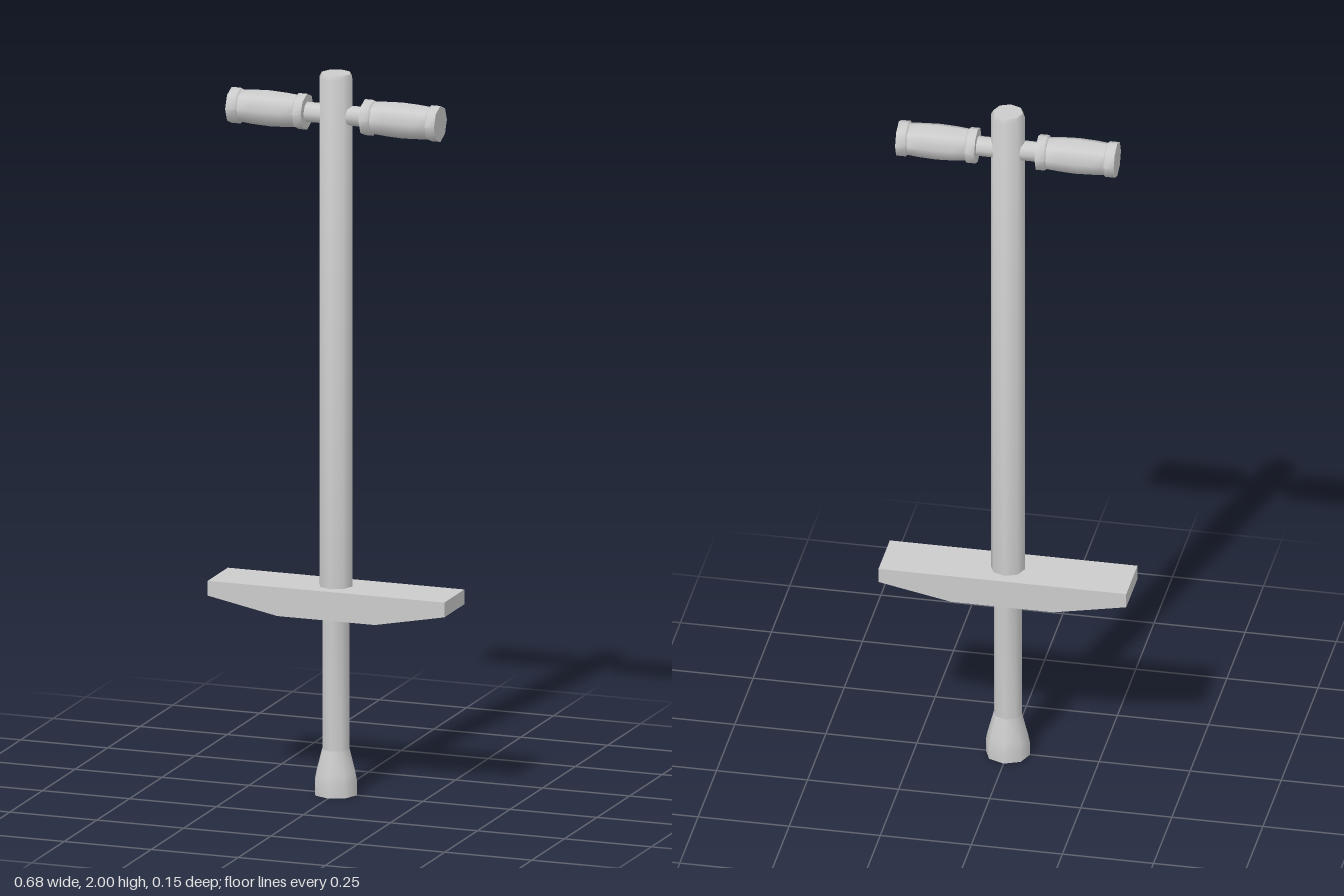
import * as THREE from 'three';
import { toCreasedNormals } from 'three/addons/utils/BufferGeometryUtils.js';

const SIDES = 8;
const material = new THREE.MeshStandardMaterial({ color: 0xcccccc });

// Turned part from [radius, height] pairs, bottom to top, smooth around with sharp rims
function turned(points) {
  const profile = points.map(([r, y]) => new THREE.Vector2(r, y));
  return toCreasedNormals(new THREE.LatheGeometry(profile, SIDES), 0.9);
}

export function createModel() {
  const group = new THREE.Group();
  const add = (name, geometry) => {
    const mesh = new THREE.Mesh(geometry, material);
    mesh.name = name;
    group.add(mesh);
    return mesh;
  };

  // Upper tube with a slightly softened top rim
  add('mainTube', turned([[0, 0.53], [0.047, 0.53], [0.047, 1.988], [0.041, 2], [0, 2]]));

  // Plunger and flared rubber foot
  add('plunger', turned([[0, 0.1], [0.039, 0.1], [0.039, 0.54], [0, 0.54]]));
  add('foot', turned([[0, 0], [0.061, 0], [0.061, 0.035], [0.056, 0.06], [0.039, 0.125], [0, 0.125]]));

  // Foot rest, tapering underneath towards both ends
  const outline = new THREE.Shape([
    [-0.34, 0.578], [-0.34, 0.537], [-0.14, 0.498],
    [0.14, 0.498], [0.34, 0.537], [0.34, 0.578],
  ].map(([x, y]) => new THREE.Vector2(x, y)));
  const pedals = new THREE.ExtrudeGeometry(outline, { depth: 0.154, bevelEnabled: false });
  pedals.translate(0, 0, -0.077);
  add('footRest', pedals);

  // Handlebar passing through the tube
  const barY = 1.885;
  const bar = turned([[0, -0.2], [0.028, -0.2], [0.028, 0.2], [0, 0.2]]);
  add('handlebar', bar.rotateZ(-Math.PI / 2)).position.y = barY;

  // Grips: a bulging barrel between two end collars
  for (const side of [1, -1]) {
    const grip = turned([
      [0, 0.083], [0.05, 0.083], [0.05, 0.107], [0.045, 0.111],
      [0.048, 0.145], [0.05, 0.19], [0.048, 0.238], [0.045, 0.27],
      [0.05, 0.274], [0.05, 0.3], [0, 0.3],
    ]);
    grip.rotateZ(-side * Math.PI / 2);
    add(side > 0 ? 'leftGrip' : 'rightGrip', grip).position.y = barY;
  }

  return group;
}
